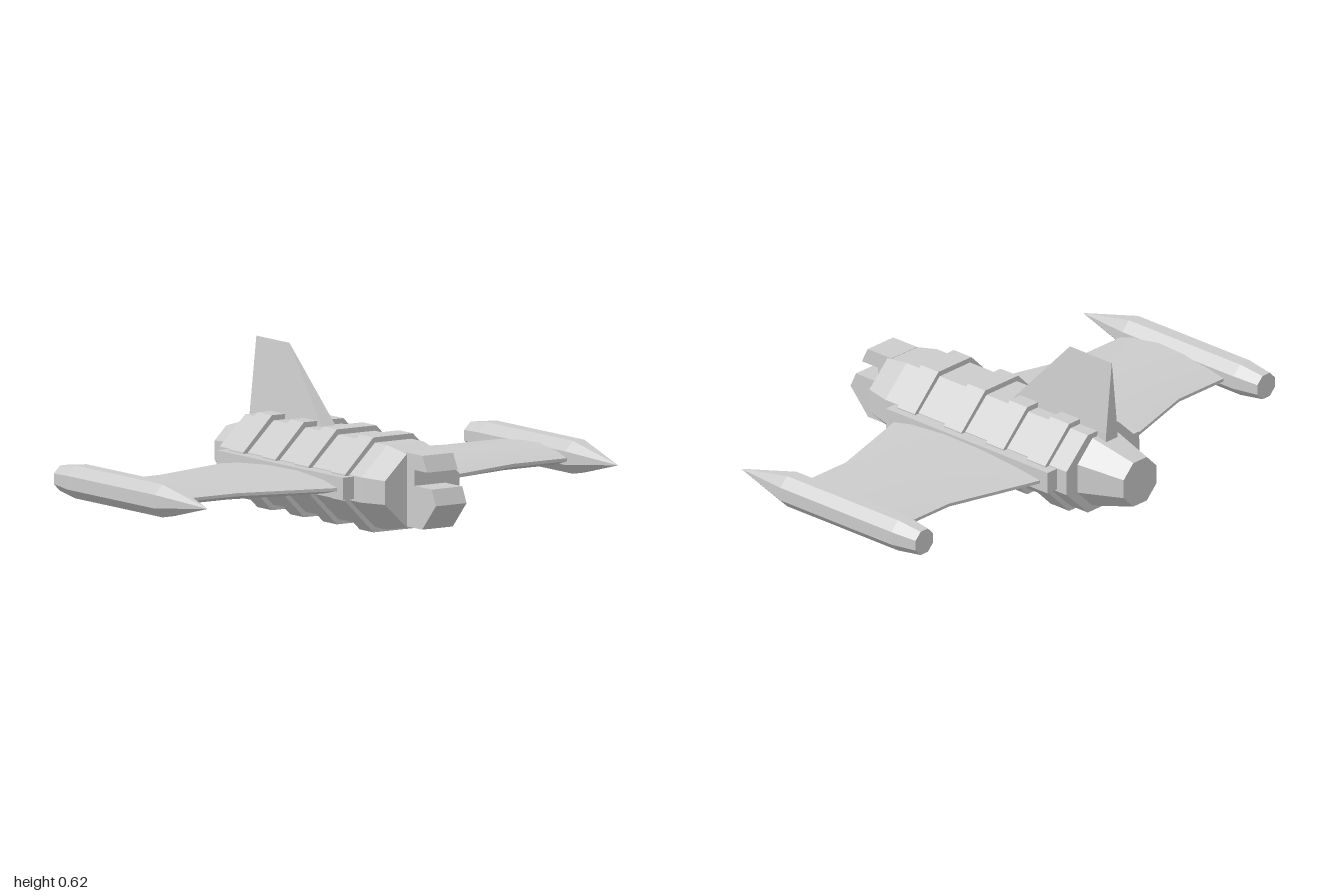
import * as THREE from 'three';
import { toCreasedNormals } from 'three/addons/utils/BufferGeometryUtils.js';

const CY = 0.18; // height of the ship's axis
const flat = new THREE.MeshStandardMaterial({ color: 0xcccccc, flatShading: true });
const smooth = new THREE.MeshStandardMaterial({ color: 0xcccccc });

// Skin a list of equal-sized rings of [x, y, z] points and cap both ends
function loft(rings) {
  const n = rings[0].length, last = (rings.length - 1) * n, index = [];
  for (let i = 0; i < rings.length - 1; i++) {
    for (let j = 0; j < n; j++) {
      const a = i * n + j, b = i * n + (j + 1) % n;
      index.push(a, b, b + n, a, b + n, a + n);
    }
  }
  for (let j = 1; j < n - 1; j++) {
    index.push(0, j + 1, j);
    index.push(last, last + j, last + j + 1);
  }
  const g = new THREE.BufferGeometry();
  g.setAttribute('position', new THREE.Float32BufferAttribute(rings.flat(2), 3));
  g.setIndex(index);
  g.computeVertexNormals();
  return g;
}

// Eight-sided ring: half width, half height, half lengths of the top and side flats
function octagon(z, w, h, top, side) {
  return [[w, -side], [w, side], [top, h], [-top, h], [-w, side], [-w, -side], [-top, -h], [top, -h]]
    .map(([x, y]) => [x, CY + y, z]);
}

export function createModel() {
  const model = new THREE.Group();
  const add = (name, geometry, material = flat) => {
    const mesh = new THREE.Mesh(geometry, material);
    mesh.name = name;
    model.add(mesh);
    return mesh;
  };

  // Fuselage with tapered front, and the engine cone behind it
  add('fuselage', loft([
    octagon(-0.52, 0.2, 0.16, 0.083, 0.048),
    octagon(0.41, 0.2, 0.16, 0.083, 0.048),
    octagon(0.52, 0.17, 0.14, 0.07, 0.045),
  ]));
  add('engine', loft([
    octagon(-0.71, 0.09, 0.09, 0.037, 0.037),
    octagon(-0.52, 0.14, 0.14, 0.058, 0.058),
  ]));

  // Raised ribs around the fuselage
  [[0.24, 0.33], [0, 0.09], [-0.215, -0.125], [-0.43, -0.335]].forEach(([z0, z1], i) => {
    add('rib' + (i + 1), loft([z0, z1].map((z) => octagon(z, 0.22, 0.18, 0.09, 0.05))));
  });

  // Cockpit: side profile with a window notch, extruded across the nose
  const profile = [[0.5, 0.325], [0.5, 0.045], [0.62, 0.045], [0.71, 0.145], [0.682, 0.205],
    [0.57, 0.205], [0.57, 0.265], [0.652, 0.265], [0.622, 0.325]];
  const nose = new THREE.ExtrudeGeometry(
    new THREE.Shape(profile.map(([z, y]) => new THREE.Vector2(-z, y))),
    { depth: 0.14, bevelEnabled: false });
  nose.translate(0, 0, -0.07).rotateY(Math.PI / 2);
  add('cockpit', nose);

  // Tail fin: wide base narrowing to a knife edge at the top
  const finRing = (y, back, front, w) => [[-w, y, front], [w, y, front], [w, y, back], [-w, y, back]];
  add('tailFin', loft([
    finRing(0.3, -0.565, -0.053, 0.033),
    finRing(0.34, -0.565, -0.09, 0.031),
    finRing(0.625, -0.565, -0.35, 0.0005),
  ]));

  // Wing section: fraction of the chord from the trailing edge, and height
  const section = [[0, 0.006], [0.15, 0.022], [0.4, 0.037], [0.65, 0.04], [0.88, 0.026], [1, 0.006]];
  const wingRing = (x, back, front) => [
    ...section.map(([t, h]) => [x, 0.175 + h, back + t * (front - back)]),
    ...section.map(([t, h]) => [x, 0.175 - h, back + t * (front - back)]).reverse(),
  ];

  for (const s of [1, -1]) {
    const side = s > 0 ? 'left' : 'right';

    // Rail along the wing root
    add(side + 'Rail', new THREE.BoxGeometry(0.1, 0.085, 0.83)).position.set(s * 0.2, 0.1825, -0.055);

    // Wing
    const rings = [[0.2, -0.445, 0.335], [0.25, -0.43, 0.32], [0.63, -0.32, 0.21], [0.92, -0.32, 0.21]]
      .map(([x, back, front]) => wingRing(s * x, back, front));
    if (s < 0) rings.reverse();
    add(side + 'Wing', toCreasedNormals(loft(rings), 0.6), smooth);

    // Wing tip pod with a long pointed nose
    const k = 1 / Math.cos(Math.PI / 8);
    const outline = [[0, -0.48], [0.048, -0.48], [0.0625, -0.37], [0.0625, 0.2], [0, 0.46]]
      .map(([r, z]) => new THREE.Vector2(r * k, z));
    const pod = new THREE.LatheGeometry(outline, 8, Math.PI / 8).rotateX(Math.PI / 2);
    add(side + 'Pod', pod).position.set(s * 0.9375, CY, 0);
  }
  return model;
}
